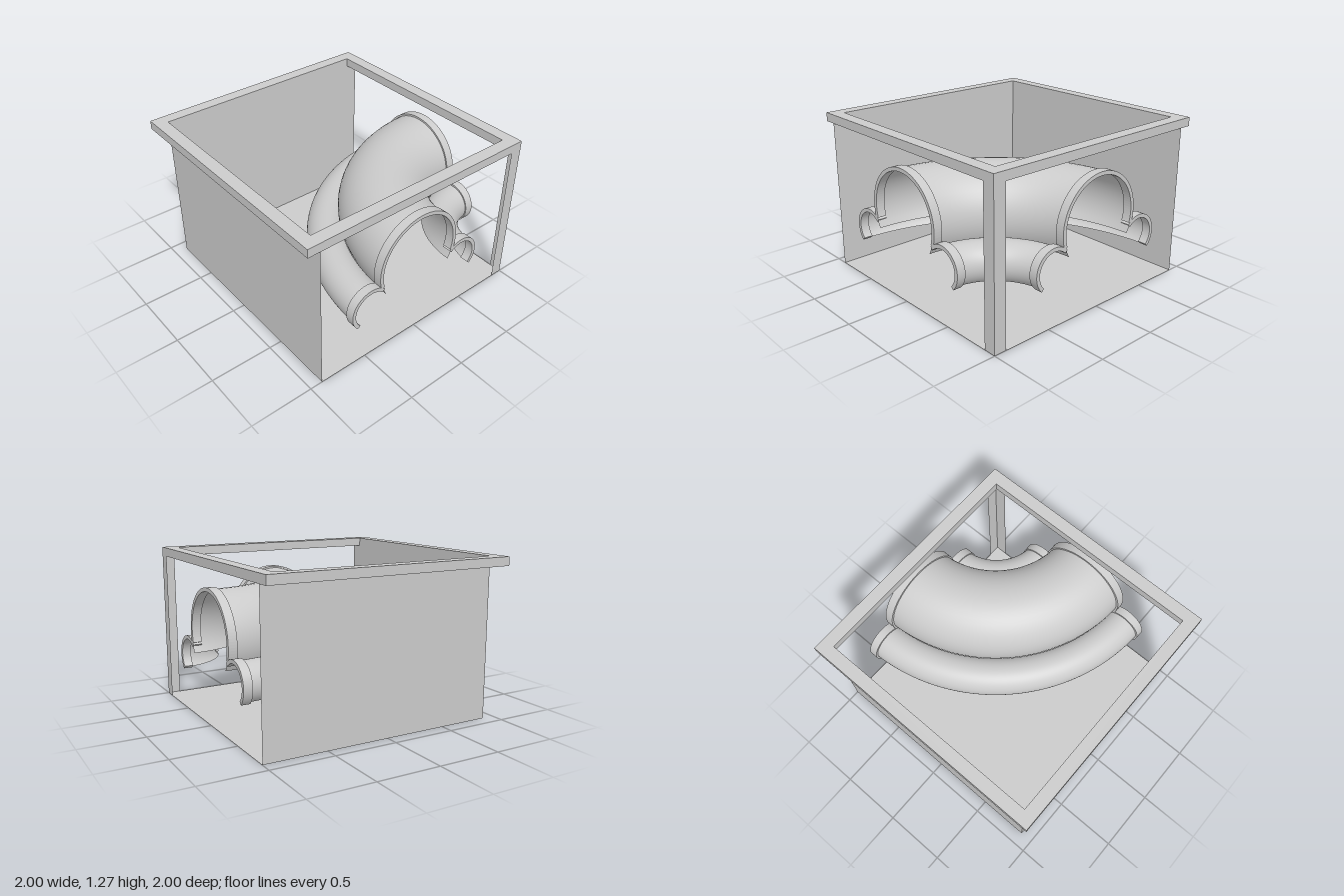
import * as THREE from 'three';

const WALL_TOP = 1.2, RIM_TOP = 1.27;
const material = new THREE.MeshStandardMaterial({ color: 0xcccccc, side: THREE.DoubleSide });
const rad = THREE.MathUtils.degToRad;

// Arched channels across the section: centre offset, centre height, shell radius,
// start and end angle, and the start and end angle of the collar
const channels = [
  { name: 'mainArch', u: 0, y: 0.68, r: 0.36, from: -30, to: 210, collar: [-17, 197] },
  { name: 'outerArch', u: 0.45, y: 0.44, r: 0.158, from: -45, to: 135, collar: [-45, 135] },
  { name: 'innerArch', u: -0.45, y: 0.44, r: 0.158, from: 45, to: 225, collar: [45, 225] },
];

function add(parent, name, geometry, x = 0, y = 0, z = 0) {
  const mesh = new THREE.Mesh(geometry, material);
  mesh.name = name;
  mesh.position.set(x, y, z);
  parent.add(mesh);
  return mesh;
}

// Upright sheet, turned about y so that it faces the given direction
function upright(parent, name, width, height, x, y, z, turn) {
  add(parent, name, new THREE.PlaneGeometry(width, height), x, y, z).rotation.y = turn;
}

// Quarter-turn shell swept about the back corner
function shell({ u, y, r, from, to }) {
  const points = [];
  for (let i = 0; i <= 32; i++) {
    const a = rad(from + (to - from) * i / 32);
    points.push(new THREE.Vector2(1 + u + r * Math.cos(a), y + r * Math.sin(a)));
  }
  return new THREE.LatheGeometry(points, 48, -Math.PI / 2, Math.PI / 2);
}

// Thick arc strip at the open end of a channel
function collar({ u, y, r, collar: [from, to] }) {
  const shape = new THREE.Shape();
  shape.absarc(u, y, r + 0.015, rad(from), rad(to), false);
  shape.absarc(u, y, r - 0.015, rad(to), rad(from), true);
  return new THREE.ExtrudeGeometry(shape, { depth: 0.07, bevelEnabled: false, curveSegments: 32 });
}

function createCasing() {
  const casing = new THREE.Group();
  casing.name = 'casing';
  add(casing, 'floor', new THREE.PlaneGeometry(1.9, 1.9).rotateX(-Math.PI / 2), 0.05, 0, -0.05);
  upright(casing, 'frontWall', 1.9, WALL_TOP, 0.05, WALL_TOP / 2, 0.9, 0);
  upright(casing, 'leftSideWall', 1.9, WALL_TOP, -0.9, WALL_TOP / 2, -0.05, -Math.PI / 2);
  // L-shaped post at the open corner
  upright(casing, 'cornerPostBack', 0.1, WALL_TOP, 0.95, WALL_TOP / 2, -1, Math.PI);
  upright(casing, 'cornerPostSide', 0.1, WALL_TOP, 1, WALL_TOP / 2, -0.95, Math.PI / 2);
  return casing;
}

// Square rim, hollow from below
function createRim() {
  const rim = new THREE.Group();
  rim.name = 'rim';
  const square = (Type, h) => new Type([[-h, -h], [h, -h], [h, h], [-h, h]].map(p => new THREE.Vector2(...p)));
  const top = square(THREE.Shape, 1);
  top.holes.push(square(THREE.Path, 0.9));
  add(rim, 'rimTop', new THREE.ShapeGeometry(top).rotateX(-Math.PI / 2), 0, RIM_TOP, 0);
  const height = RIM_TOP - WALL_TOP;
  for (let i = 0; i < 4; i++) {
    const a = i * Math.PI / 2, s = Math.sin(a), c = Math.cos(a), y = WALL_TOP + height / 2;
    upright(rim, 'rimOuterSkirt', 2, height, s, y, c, a);
    upright(rim, 'rimInnerSkirt', 1.8, height, 0.9 * s, y, 0.9 * c, a + Math.PI);
  }
  return rim;
}

function createBend() {
  const bend = new THREE.Group();
  bend.name = 'curvedChannel';
  for (const channel of channels) {
    add(bend, channel.name, shell(channel), 1, 0, -1);
    add(bend, channel.name + 'BackCollar', collar(channel), 0, 0, -1);
    add(bend, channel.name + 'SideCollar', collar(channel), 0.93, 0, 0).rotation.y = Math.PI / 2;
  }
  return bend;
}

export function createModel() {
  const model = new THREE.Group();
  model.name = 'channelBendInCasing';
  model.add(createCasing(), createRim(), createBend());
  return model;
}
